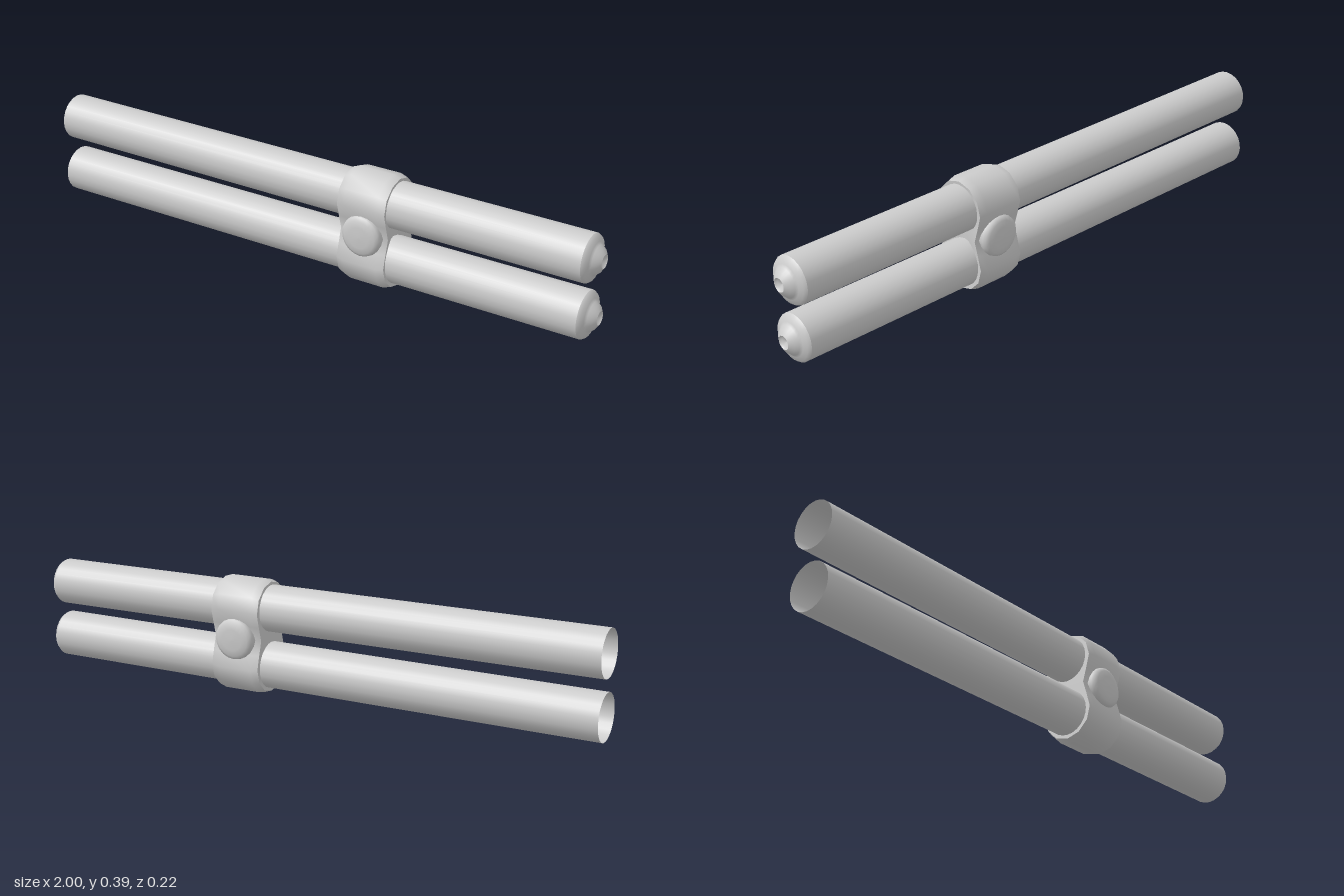
import * as THREE from 'three';

const mat = new THREE.MeshStandardMaterial({ color: 0xcccccc, side: THREE.DoubleSide });
const v2 = (pts) => pts.map(([r, h]) => new THREE.Vector2(r, h));

// Turned part from [radius, height] runs; each run is smooth, with a sharp edge between runs
function turned(name, runs, segments) {
  const group = new THREE.Group();
  group.name = name;
  for (const run of runs) {
    const mesh = new THREE.Mesh(new THREE.LatheGeometry(v2(run), segments), mat);
    mesh.name = name + 'Surface';
    group.add(mesh);
  }
  return group;
}

// Hollow tube, open at -x, with a stepped dimpled nose at +x
function makeTube(name, yLeft, yRight) {
  const tube = turned(name, [
    [[0.077, -1], [0.077, 0.958]],
    [[0.077, 0.958], [0.07, 0.968], [0.055, 0.973], [0.047, 0.979], [0.038, 0.99], [0.022, 1]],
    [[0.022, 1], [0.016, 0.993], [0.0001, 0.988]],
  ], 24);
  tube.rotation.z = -Math.PI / 2 + Math.atan2(yRight - yLeft, 2);
  tube.position.y = (yLeft + yRight) / 2;
  return tube;
}

// Figure-eight outline of the clamp as [z, y] about its own middle
function clampOutline() {
  const upper = [];
  for (let i = 0; i <= 8; i++) {
    const a = (-30 + 30 * i) * Math.PI / 180;
    upper.push([0.097 * Math.cos(a), 0.0965 + 0.097 * Math.sin(a)]);
  }
  const lower = upper.map(([z, y]) => [-z, -y]);
  return [...upper, [-0.07, 0], ...lower, [0.07, 0]];
}

// Clamp body: outline lofted along x, with dished end caps
function makeClamp() {
  const group = new THREE.Group();
  group.name = 'clamp';
  const outline = clampOutline();
  const n = outline.length;
  const sections = [[0.14, 0.955], [0.165, 1], [0.285, 1], [0.312, 0.955]];
  const ring = ([x, s]) => outline.flatMap(([z, y]) => [x, 0.1965 + y * s, z * s]);

  const add = (name, positions, index) => {
    const g = new THREE.BufferGeometry();
    g.setAttribute('position', new THREE.Float32BufferAttribute(positions, 3));
    g.setIndex(index);
    g.computeVertexNormals();
    const mesh = new THREE.Mesh(g, mat);
    mesh.name = name;
    group.add(mesh);
  };

  const side = [];
  for (let k = 0; k < sections.length - 1; k++) {
    for (let i = 0; i < n; i++) {
      const a = k * n + i, b = k * n + (i + 1) % n;
      side.push(a, a + n, b, b, a + n, b + n);
    }
  }
  add('clampBody', sections.flatMap(ring), side);

  for (const [name, section, cx, right] of [
    ['clampLeftCap', sections[3], 0.29, true],
    ['clampRightCap', sections[0], 0.14, false],
  ]) {
    const index = [];
    for (let i = 0; i < n; i++) {
      const j = (i + 1) % n;
      index.push(n, ...(right ? [j, i] : [i, j]));
    }
    add(name, [...ring(section), cx, 0.1965, 0], index);
  }
  return group;
}

export function createModel() {
  const model = new THREE.Group();
  model.name = 'twinTubes';
  model.add(makeTube('upperTube', 0.298, 0.29));
  model.add(makeTube('lowerTube', 0.101, 0.103));
  model.add(makeClamp());

  // Round rivet heads on the front and back of the clamp
  for (const s of [1, -1]) {
    const rivet = turned(s > 0 ? 'frontRivet' : 'backRivet', [
      [[0.066, 0.05], [0.069, 0.085], [0.066, 0.096], [0.055, 0.103], [0.035, 0.107], [0.0001, 0.108]],
    ], 20);
    rivet.rotation.x = s * Math.PI / 2;
    rivet.position.set(0.228, 0.198, 0);
    model.add(rivet);
  }
  return model;
}
